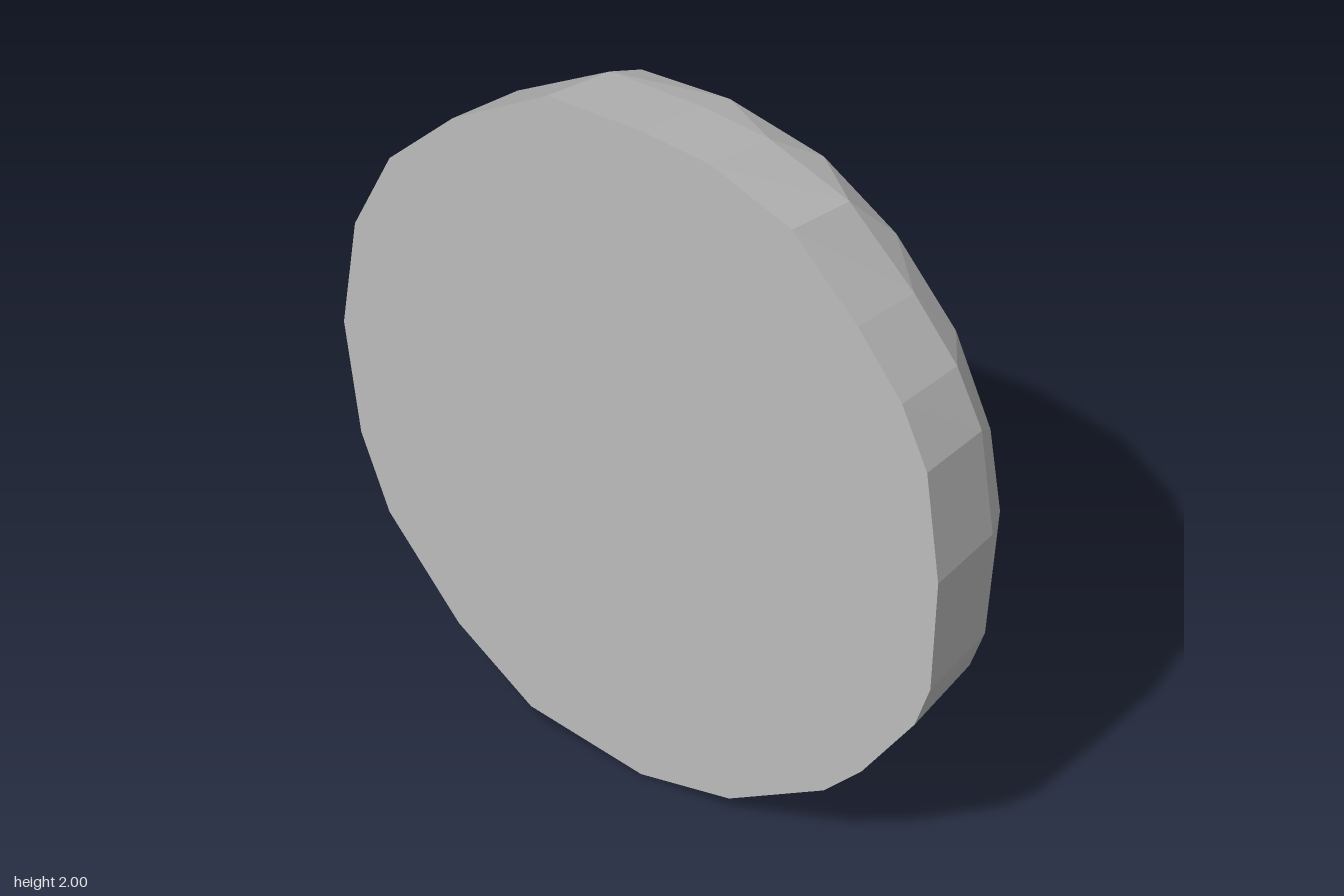
import * as THREE from 'three';
import { ConvexGeometry } from 'three/addons/geometries/ConvexGeometry.js';

// outlines as [z, y] pairs, each lying in a plane of constant x
const backOutline = [
  [0, 2], [0.22, 1.99], [0.48, 1.9], [0.69, 1.69], [0.83, 1.51], [0.91, 1.33], [0.945, 1.0],
  [0.92, 0.66], [0.87, 0.53], [0.7, 0.31], [0.58, 0.2], [0.28, 0.045], [0, 0], [-0.35, 0.06],
  [-0.58, 0.22], [-0.8, 0.47], [-0.89, 0.68], [-0.945, 1.0], [-0.91, 1.32], [-0.8, 1.57],
  [-0.6, 1.78], [-0.3, 1.98],
];
const ridgeOutline = [
  [0, 1.89], [0.3, 1.84], [0.53, 1.7], [0.72, 1.48], [0.83, 1.22], [0.86, 0.98], [0.8, 0.7],
  [0.6, 0.4], [0.37, 0.21], [0.12, 0.13], [0, 0.13], [-0.3, 0.2], [-0.5, 0.29], [-0.7, 0.53],
  [-0.82, 0.73], [-0.855, 1.05], [-0.81, 1.3], [-0.73, 1.49], [-0.55, 1.7], [-0.28, 1.86],
];
const shoulderArc = [[0.45, 1.64], [0.22, 1.75], [0, 1.78], [-0.25, 1.75], [-0.5, 1.62]];
const faceOutline = [
  [0, 1.56], [0.22, 1.53], [0.4, 1.41], [0.51, 1.25], [0.565, 1.05], [0.53, 0.83], [0.4, 0.61],
  [0.22, 0.49], [0.08, 0.435], [-0.03, 0.43], [-0.22, 0.48], [-0.4, 0.59], [-0.52, 0.75],
  [-0.565, 1.0], [-0.53, 1.22], [-0.44, 1.39], [-0.3, 1.53],
];

// places an outline at x, optionally scaled about the centre
const ring = (x, outline, sz = 1, sy = 1) =>
  outline.map(([z, y]) => new THREE.Vector3(x, 1 + (y - 1) * sy, z * sz));

export function createModel() {
  const stone = new THREE.MeshStandardMaterial({ color: 0xbcbcbc, flatShading: true });
  stone.name = 'grey';

  // faceted dome: flat back, bulging rim, bevel and flat face
  const geometry = new ConvexGeometry([
    ...ring(-0.265, backOutline),
    ...ring(-0.01, backOutline, 0.978, 0.932),
    ...ring(0.105, ridgeOutline),
    ...ring(0.175, shoulderArc),
    ...ring(0.265, faceOutline),
  ]);
  const body = new THREE.Mesh(geometry, stone);
  body.name = 'facetedBody';

  const model = new THREE.Group();
  model.name = 'facetedDisc';
  model.add(body);
  return model;
}
